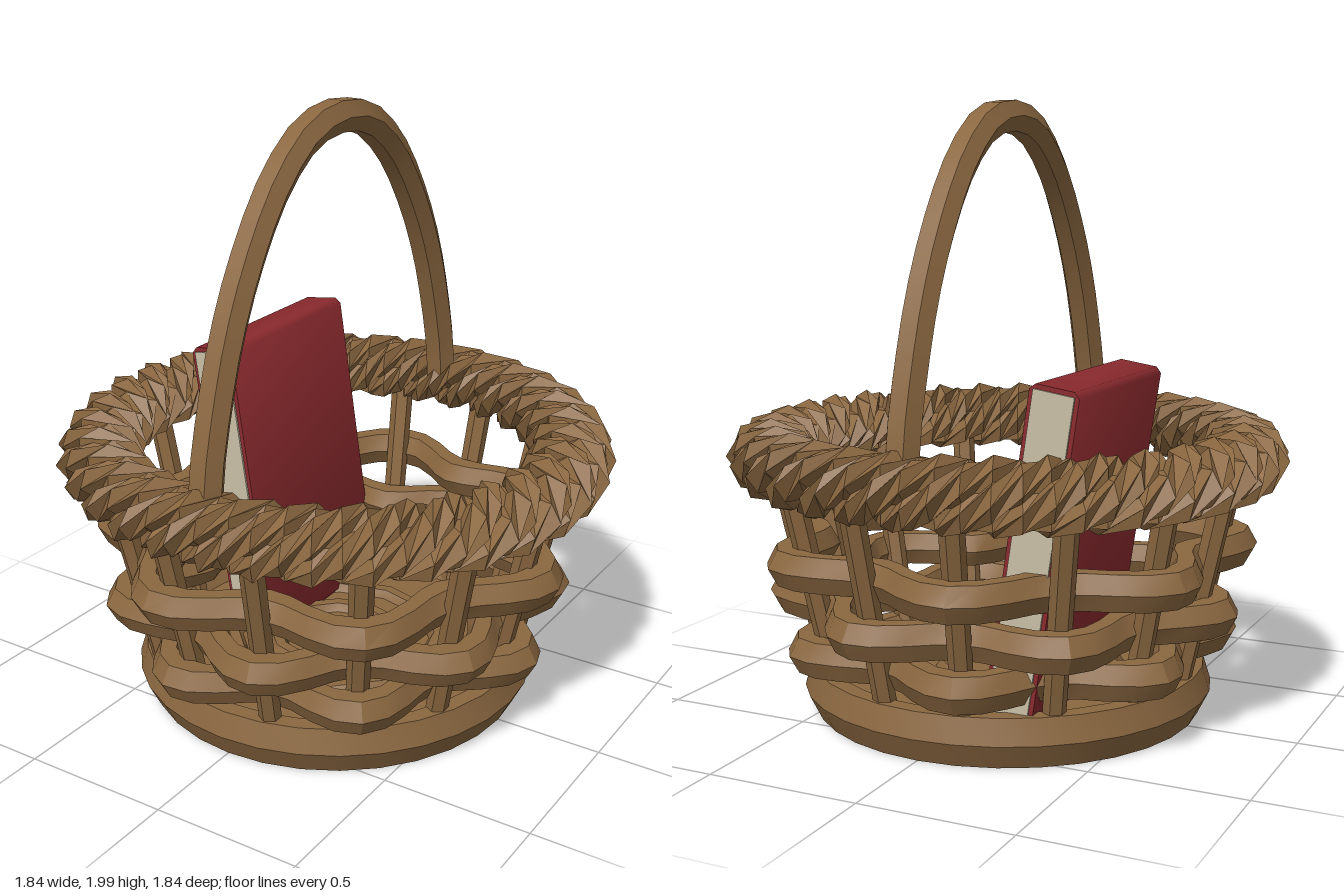
import * as THREE from 'three';
import { toCreasedNormals } from 'three/addons/utils/BufferGeometryUtils.js';

const TAU = Math.PI * 2;
const STAKES = 14;
const stakeRadius = (y) => 0.577 + 0.22 * y;

// Closed loop around the y axis; at(a) gives the section centre, half sizes and roll
function loopGeometry(segments, sides, at) {
  const pos = [], index = [];
  for (let i = 0; i < segments; i++) {
    const a = (i / segments) * TAU;
    const s = at(a);
    for (let j = 0; j < sides; j++) {
      const p = (j / sides) * TAU + (s.roll || 0);
      const r = s.r + s.w * Math.cos(p);
      pos.push(r * Math.sin(a), s.y + s.h * Math.sin(p), r * Math.cos(a));
      const i2 = (i + 1) % segments, j2 = (j + 1) % sides;
      const A = i * sides + j, B = i2 * sides + j, C = i2 * sides + j2, D = i * sides + j2;
      index.push(A, B, C, A, C, D);
    }
  }
  const g = new THREE.BufferGeometry();
  g.setAttribute('position', new THREE.Float32BufferAttribute(pos, 3));
  g.setIndex(index);
  return g;
}

export function createModel() {
  const model = new THREE.Group();
  model.name = 'basket';
  const material = (name, color) => {
    const m = new THREE.MeshStandardMaterial({ color });
    m.name = name;
    return m;
  };
  const wicker = material('wicker', 0x8a6740);
  const red = material('redCover', 0x8a2a2e);
  const paper = material('paper', 0xc8bfa6);

  const add = (name, geometry, mat, parent = model, crease = 0.5) => {
    const mesh = new THREE.Mesh(toCreasedNormals(geometry, crease), mat);
    mesh.name = name;
    parent.add(mesh);
    return mesh;
  };

  // Base with a bevelled edge and a recessed floor
  const profile = [[0, 0], [0.64, 0], [0.68, 0.08], [0.655, 0.16], [0.6, 0.16], [0.575, 0.12], [0, 0.12]];
  add('base', new THREE.LatheGeometry(profile.map(([x, y]) => new THREE.Vector2(x, y)), 32), wicker);

  // Raised rings on the floor
  for (const r of [0.36, 0.21]) {
    add('floorRing', loopGeometry(12, 6, () => ({ r, y: 0.12, w: 0.035, h: 0.03 })), wicker);
  }

  // Upright stakes leaning outward
  const up = new THREE.Vector3(0, 1, 0);
  for (let k = 0; k < STAKES; k++) {
    const b = (k / STAKES) * TAU;
    const point = (y) => new THREE.Vector3(stakeRadius(y) * Math.cos(b), y, stakeRadius(y) * Math.sin(b));
    const low = point(0.1), high = point(0.86);
    const dir = high.clone().sub(low);
    const stake = add('stake', new THREE.CylinderGeometry(0.04, 0.036, dir.length(), 6), wicker);
    stake.position.copy(low).add(high).multiplyScalar(0.5);
    stake.quaternion.setFromUnitVectors(up, dir.normalize());
  }

  // Woven bands passing alternately outside and inside the stakes
  [[0.54, 1], [0.38, -1], [0.25, 1]].forEach(([y, side]) => {
    add('weaver', loopGeometry(STAKES * 4, 6, (a) => ({
      r: stakeRadius(y) + side * 0.073 * Math.cos((STAKES / 2) * (Math.PI / 2 - a)),
      y, w: 0.063, h: 0.066,
    })), wicker);
  });

  // Twisted rope rim made of four strands
  const rim = new THREE.Group();
  rim.name = 'rim';
  model.add(rim);
  for (let k = 0; k < 4; k++) {
    add('rimStrand', loopGeometry(64, 6, (a) => {
      const roll = 8 * a + (k * Math.PI) / 2;
      return { r: 0.775 + 0.07 * Math.cos(roll), y: 0.855 + 0.058 * Math.sin(roll), w: 0.077, h: 0.063, roll };
    }), wicker, rim, 0.35);
  }

  // Arched handle from front to back
  const half = [[0.72, 0.84], [0.705, 1.0], [0.655, 1.2], [0.585, 1.4], [0.48, 1.6], [0.335, 1.79], [0.17, 1.91]];
  const arch = [...half, [0, 1.943], ...half.slice().reverse().map(([z, y]) => [-z, y])];
  const path = new THREE.CatmullRomCurve3(arch.map(([z, y]) => new THREE.Vector3(0, y, z)));
  add('handle', new THREE.TubeGeometry(path, 28, 0.057, 6), wicker);

  // Leaning book: chamfered cover with pages showing at the ends
  const book = new THREE.Group();
  book.name = 'book';
  book.position.set(-0.326, 0.626, -0.2);
  book.rotation.z = 0.15;
  model.add(book);
  const w = 0.08, h = 0.53, c = 0.018;
  const outline = new THREE.Shape([
    [-w, -h + c], [-w + c, -h], [w - c, -h], [w, -h + c],
    [w, h - c], [w - c, h], [-w + c, h], [-w, h - c],
  ].map(([x, y]) => new THREE.Vector2(x, y)));
  const cover = new THREE.ExtrudeGeometry(outline, { depth: 0.675, bevelEnabled: false });
  cover.translate(0, 0, -0.3375);
  add('bookCover', cover, red, book, 0.9);
  add('pages', new THREE.BoxGeometry(0.132, 1.03, 0.688), paper, book);

  return model;
}
